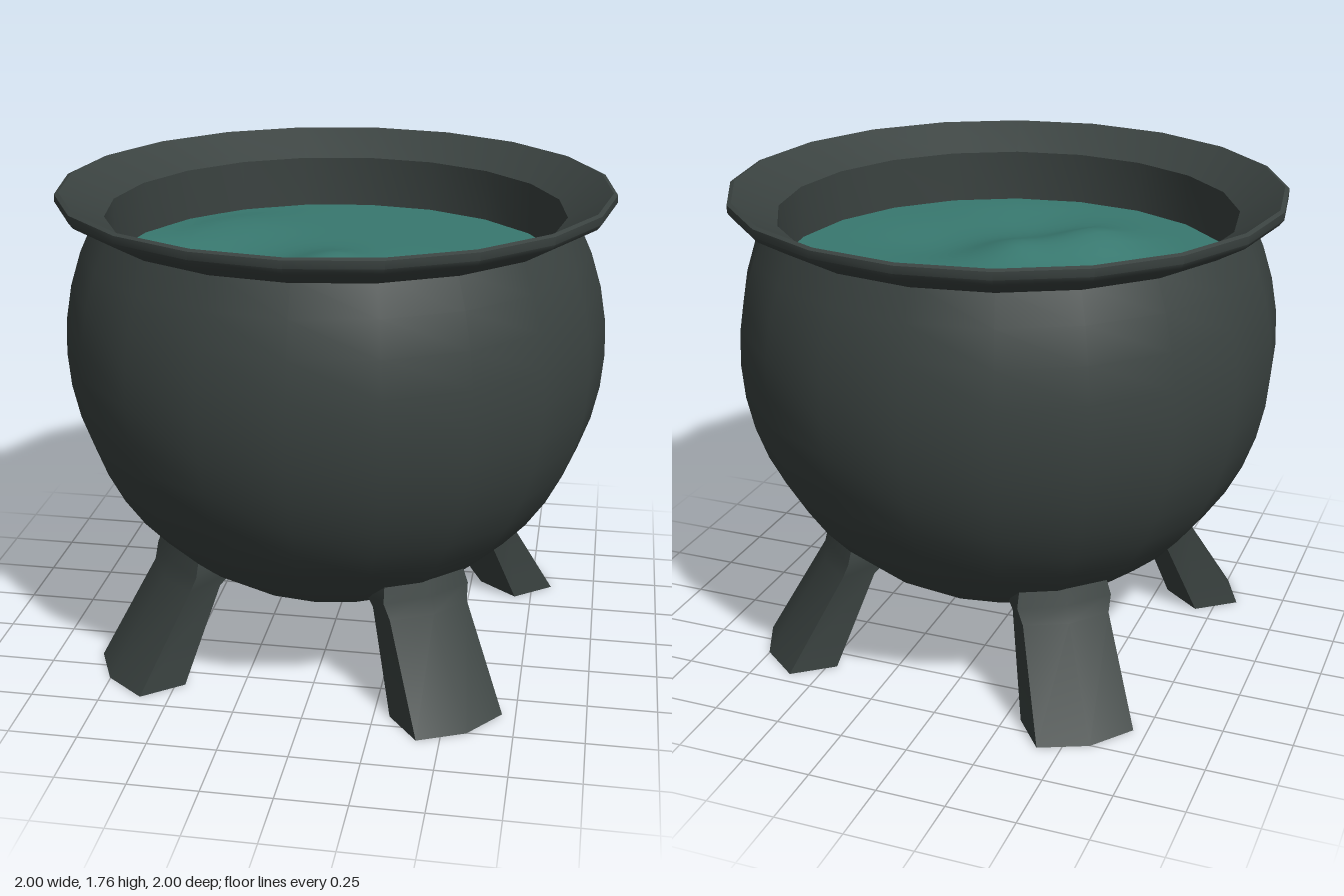
import * as THREE from 'three';
import { mergeVertices, toCreasedNormals } from 'three/addons/utils/BufferGeometryUtils.js';

const SIDES = 20;

// Six-sided cross-section: depth between inner and outer faces, bulging in the middle
function legRing(y, inner, outer, half, bulge) {
  return [
    [-half, y, outer], [0, y, outer + bulge], [half, y, outer],
    [half, y, inner], [0, y, inner - bulge], [-half, y, inner],
  ];
}

// Closed solid through equal-length rings, bottom to top
function loft(rings) {
  const n = rings[0].length, pos = rings.flat(2), idx = [];
  for (let r = 0; r < rings.length - 1; r++) {
    for (let i = 0; i < n; i++) {
      const a = r * n + i, b = r * n + (i + 1) % n;
      idx.push(a, b, b + n, a, b + n, a + n);
    }
  }
  const top = (rings.length - 1) * n;
  for (let i = 1; i < n - 1; i++) {
    idx.push(0, i + 1, i);
    idx.push(top, top + i, top + i + 1);
  }
  const g = new THREE.BufferGeometry();
  g.setAttribute('position', new THREE.Float32BufferAttribute(pos, 3));
  g.setIndex(idx);
  return toCreasedNormals(g, 0.75);
}

// Gentle bumps and hollows on the liquid: [x, z, height, radius]
const WAVES = [
  [-0.45, 0.08, -0.06, 0.24], [-0.45, -0.38, 0.025, 0.22],
  [-0.22, 0.34, 0.05, 0.15], [0.0, 0.08, 0.05, 0.17],
  [0.06, 0.5, -0.03, 0.2], [0.32, 0.12, -0.025, 0.22],
];
function waveHeight(x, z) {
  let h = 0;
  for (const [cx, cz, a, r] of WAVES) h += a * Math.exp(-((x - cx) ** 2 + (z - cz) ** 2) / (r * r));
  return h * Math.min(1, (0.83 - Math.hypot(x, z)) / 0.15);
}

export function createModel() {
  const iron = new THREE.MeshStandardMaterial({ color: 0x3a4240 });
  iron.name = 'dark iron';
  const teal = new THREE.MeshStandardMaterial({ color: 0x38786f });
  teal.name = 'teal liquid';

  const group = new THREE.Group();
  group.name = 'cauldron';
  const add = (geometry, material, name) => {
    const mesh = new THREE.Mesh(geometry, material);
    mesh.name = name;
    group.add(mesh);
    return mesh;
  };

  // Round belly, cut off below the rim
  const R = 0.987, CY = 1.187, belly = [];
  const end = Math.PI / 2 + Math.asin((1.66 - CY) / R);
  for (let i = 0; i <= 16; i++) {
    const a = (end * i) / 16;
    belly.push(new THREE.Vector2(R * Math.sin(a), CY - R * Math.cos(a)));
  }
  add(new THREE.LatheGeometry(belly, SIDES), iron, 'belly');

  // Flared rim, funnelling in to the throat wall
  const rim = [
    [0.85, 1.645], [0.88, 1.65], [0.985, 1.71], [1, 1.73], [1, 1.757],
    [0.985, 1.763], [0.83, 1.67], [0.83, 1.38],
  ].map(([x, y]) => new THREE.Vector2(x, y));
  add(toCreasedNormals(new THREE.LatheGeometry(rim, SIDES), 0.7), iron, 'rim');

  // Rippled liquid surface
  let liquid = new THREE.RingGeometry(0, 0.835, 40, 16);
  liquid.rotateX(-Math.PI / 2);
  liquid.deleteAttribute('uv');
  liquid.deleteAttribute('normal');
  liquid = mergeVertices(liquid, 1e-4);
  const p = liquid.attributes.position;
  for (let i = 0; i < p.count; i++) p.setY(i, 1.475 + waveHeight(p.getX(i), p.getZ(i)));
  liquid.computeVertexNormals();
  add(liquid, teal, 'liquid');

  // Four splayed legs with a slight collar where they meet the belly
  const legGeometry = loft([
    legRing(0, 0.73, 0.91, 0.18, 0.045),
    legRing(0.36, 0.57, 0.69, 0.16, 0.035),
    legRing(0.42, 0.52, 0.67, 0.175, 0.03),
    legRing(0.49, 0.47, 0.65, 0.16, 0.025),
  ]);
  for (let i = 0; i < 4; i++) {
    add(legGeometry, iron, 'leg').rotation.y = THREE.MathUtils.degToRad(38 + 90 * i);
  }
  return group;
}
